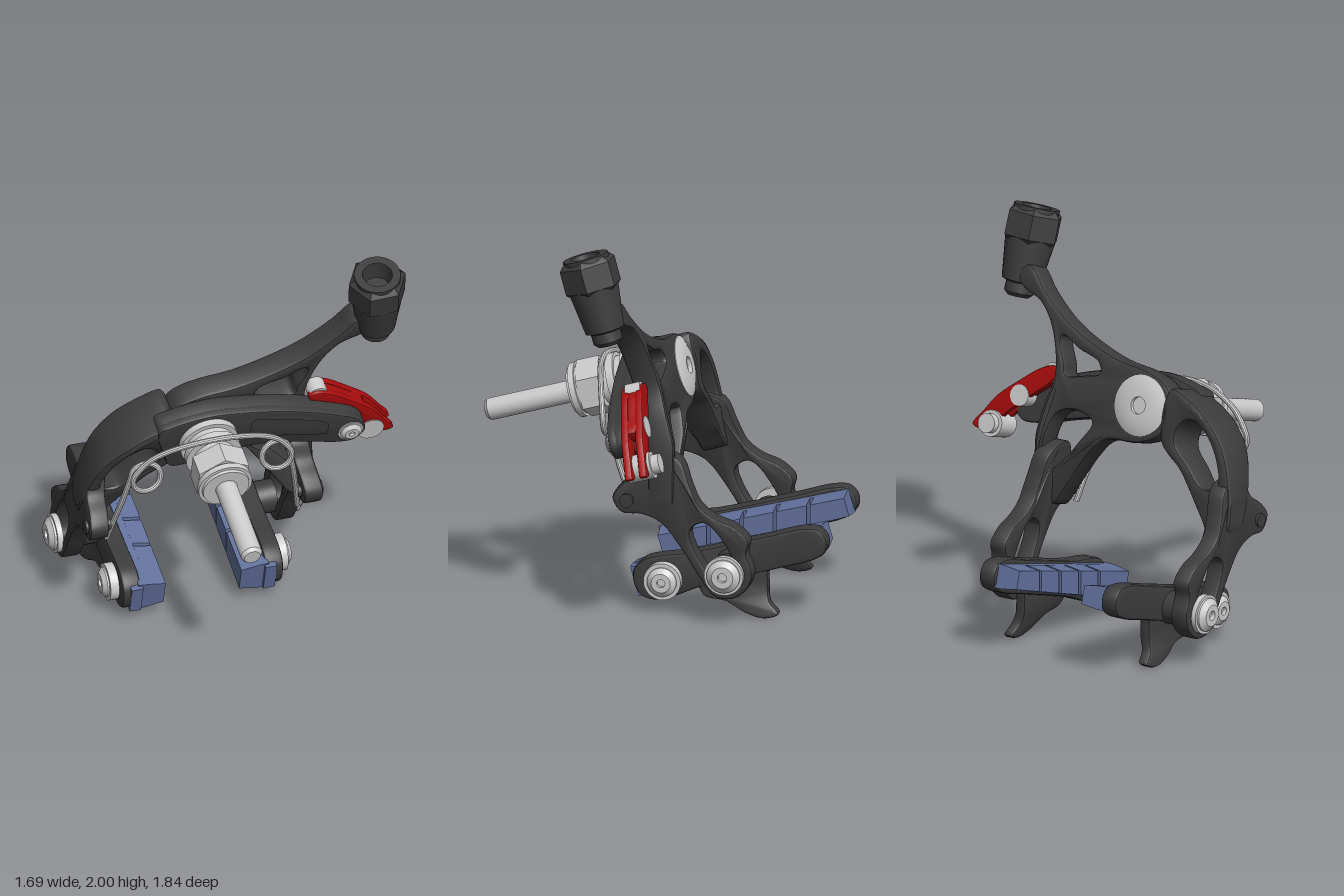
import * as THREE from 'three';
import { toCreasedNormals } from 'three/addons/utils/BufferGeometryUtils.js';

const mat = (color) => new THREE.MeshStandardMaterial({ color });
const dark = mat(0x3c3c3c), grey = mat(0xcccccc), red = mat(0xa80c0c), blue = mat(0x62719c);
const TILT = 0.28, PIVOT_X = -0.18, PIVOT_Y = 1.13, PIVOT_Z = 0.02;

function add(parent, name, geo, material) {
  const mesh = new THREE.Mesh(toCreasedNormals(geo, 0.6), material);
  mesh.name = name;
  parent.add(mesh);
  return mesh;
}

// move every vertex by a rule
function warp(geo, rule) {
  const p = geo.attributes.position, v = new THREE.Vector3();
  for (let i = 0; i < p.count; i++) {
    rule(v.fromBufferAttribute(p, i));
    p.setXYZ(i, v.x, v.y, v.z);
  }
  return geo;
}

// smooth closed loop through a few points
function loop(pts) {
  const curve = new THREE.CatmullRomCurve3(pts.map(([x, y]) => new THREE.Vector3(x, y, 0)), true, 'centripetal');
  return curve.getPoints(pts.length * 5).slice(0, -1).map((p) => new THREE.Vector2(p.x, p.y));
}

// bevelled slab between depth a and b
function slab(pts, a, b, holes = [], bevel = 0.015) {
  const shape = new THREE.Shape(loop(pts));
  holes.forEach((h) => shape.holes.push(new THREE.Path(loop(h))));
  return new THREE.ExtrudeGeometry(shape, {
    depth: b - a - 2 * bevel, bevelEnabled: true, bevelSize: bevel, bevelThickness: bevel,
    bevelOffset: -bevel, bevelSegments: 2,
  }).translate(0, 0, a + bevel);
}

// slab drawn in side outline (z, y), spanning x from a to b
const sideSlab = (pts, a, b, holes) => slab(pts, -b, -a, holes).rotateY(-Math.PI / 2);

// front outline in upright heights, brought into the tilted frame at depth ref
const tilted = (pts, ref) => pts.map(([x, y]) => [x, (y - PIVOT_Y + Math.sin(TILT) * ref) / Math.cos(TILT)]);

// cylinder from a to b along z
const rodZ = (r0, r1, a, b, x, y, seg = 32) =>
  new THREE.CylinderGeometry(r1, r0, b - a, seg).rotateX(Math.PI / 2).translate(x, y, (a + b) / 2);

const lathe = (pts, seg = 32) => new THREE.LatheGeometry(pts.map(([x, y]) => new THREE.Vector2(x, y)), seg);

// domed screw head with a socket, pointing up
const screw = (r, h) => lathe([[0, 0], [r, 0], [r, h * 0.4], [r * 0.65, h], [r * 0.28, h], [r * 0.28, h * 0.4], [0, h * 0.4]]);

// lower leg, bolts and brake pad of the -x side
function buildSide(name) {
  const side = new THREE.Group();
  side.name = name;
  const leg = [[-0.03, 0.87], [0.02, 0.77], [0.1, 0.71], [0.145, 0.64], [0.1, 0.565], [0, 0.56], [-0.1, 0.52],
    [-0.2, 0.4], [-0.31, 0.23], [-0.38, 0.15], [-0.47, 0.145], [-0.55, 0.21], [-0.57, 0.29], [-0.54, 0.38],
    [-0.55, 0.45], [-0.48, 0.52], [-0.38, 0.56], [-0.3, 0.62], [-0.25, 0.72], [-0.19, 0.85]];
  const slot = [[-0.25, 0.48], [-0.31, 0.53], [-0.37, 0.5], [-0.49, 0.29], [-0.46, 0.22], [-0.38, 0.24]];
  const legGeo = warp(sideSlab(leg, -0.79, -0.69, [slot]), (v) => { v.x += Math.max(0, v.y - 0.66) * 0.14; });
  add(side, 'lowerLeg', legGeo, dark);
  const turn = (g, y, z, x) => g.rotateZ(Math.PI / 2).translate(x, y, z);
  const disc = (r, h) => new THREE.CylinderGeometry(r, r, h, 32);
  add(side, 'padBoltWasher', turn(disc(0.1, 0.03), 0.27, -0.43, -0.8), grey);
  add(side, 'padBoltHead', turn(screw(0.085, 0.04), 0.27, -0.43, -0.81), grey);
  add(side, 'padSpacer', turn(disc(0.085, 0.12), 0.27, -0.43, -0.64), dark);
  add(side, 'springPin', turn(disc(0.035, 0.13), 0.63, 0.07, -0.735), dark);
  add(side, 'cartridgeScrewBoss', turn(disc(0.095, 0.05), 0.17, -0.08, -0.62), grey);
  add(side, 'cartridgeScrew', turn(screw(0.075, 0.035), 0.17, -0.08, -0.64), grey);

  // wheel guide fin under the holder
  const fin = [[-0.25, 0.2], [-0.28, 0.1], [-0.4, 0.075], [-0.5, 0.025], [-0.6, 0.003], [-0.67, 0.03], [-0.62, 0.09],
    [-0.61, 0.2], [-0.6, 0.28]];
  const finGeo = warp(sideSlab(fin, -0.59, -0.53), (v) => { v.x -= Math.max(0, 0.14 - v.y) * 0.3; });
  add(side, 'guideFin', finGeo, dark);

  // holder and grooved pad
  const pad = new THREE.Group();
  pad.name = 'brakePad';
  pad.position.set(0, 0.28, -0.415);
  pad.rotation.x = TILT;
  side.add(pad);
  const holder = [[0.51, 0], [0.49, 0.07], [0.42, 0.11], [0.32, 0.11], [0.2, 0.095], [-0.2, 0.088], [-0.42, 0.085],
    [-0.49, 0.06], [-0.515, 0], [-0.49, -0.06], [-0.42, -0.085], [-0.2, -0.088], [0.2, -0.095], [0.32, -0.11],
    [0.42, -0.11], [0.49, -0.07]];
  add(pad, 'padHolder', sideSlab(holder, -0.6, -0.505), dark);
  // rubber narrows to the rear; inner cuts run upright
  const block = (x0, x1, h0, h1, a, b) => warp(new THREE.ExtrudeGeometry(new THREE.Shape([
    new THREE.Vector2(x0, -h0), new THREE.Vector2(x1, -h1), new THREE.Vector2(x1, h1), new THREE.Vector2(x0, h0),
  ]), { depth: b - a, bevelEnabled: false }).translate(0, 0, a), (v) => {
    v.y *= 0.84 + 0.32 * v.z;
    if (Math.abs(v.z) < 0.45) v.z -= v.y * Math.tan(TILT);
  });
  add(pad, 'padBacking', block(-0.52, -0.47, 0.09, 0.087, -0.49, 0.495), blue);
  add(pad, 'padToe', block(-0.56, -0.5, 0.078, 0.082, 0.46, 0.513), blue);
  const cuts = [-0.5, -0.286, -0.109, 0.068, 0.245, 0.505];
  for (let i = 0; i < 5; i++)
    add(pad, 'padBlock', block(-0.47, -0.378, 0.087, 0.07, cuts[i] + 0.01, cuts[i + 1] - 0.01), blue);
  return side;
}

function buildSpring() {
  const half = [[-0.68, 0.53, 0.05], [-0.66, 0.64, 0.09], [-0.63, 0.8, 0.15]];
  // one coil, then the arc over the pivot
  for (let i = 0; i <= 18; i++) {
    const a = Math.PI - (i / 18) * (Math.PI * 2 + 0.45);
    half.push([-0.52 + 0.075 * Math.cos(a), 0.97 + 0.075 * Math.sin(a), 0.19 + i * 0.0025]);
  }
  half.push([-0.52, 1.09, 0.255], [-0.44, 1.14, 0.275], [-0.32, 1.18, 0.3]);
  const mirror = half.map(([x, y, z]) => [2 * PIVOT_X - x, y, z]).reverse();
  const pts = [...half, [PIVOT_X, 1.195, 0.31], ...mirror].map((q) => new THREE.Vector3(...q));
  return new THREE.TubeGeometry(new THREE.CatmullRomCurve3(pts, false, 'centripetal'), 260, 0.015, 10);
}

export function createModel() {
  const model = new THREE.Group();
  model.name = 'caliperBrake';
  const right = buildSide('rightSide');
  const left = buildSide('leftSide');
  left.scale.x = -1;
  left.position.x = 2 * PIVOT_X;
  model.add(right, left);
  add(model, 'returnSpring', buildSpring(), grey);

  // everything around the pivot leans forward with it
  const top = new THREE.Group();
  top.name = 'pivotAssembly';
  top.position.set(0, PIVOT_Y, PIVOT_Z);
  top.rotation.x = TILT;
  model.add(top);

  // deep curved arm, thinning towards the leg
  const arch = [[-0.77, 0.6], [-0.785, 0.72], [-0.76, 0.87], [-0.7, 1.02], [-0.6, 1.13], [-0.47, 1.21], [-0.36, 1.245],
    [-0.33, 1.2], [-0.33, 0.98], [-0.37, 0.93], [-0.45, 0.87], [-0.53, 0.77], [-0.61, 0.66], [-0.67, 0.59]];
  const archHole = [[-0.69, 0.82], [-0.61, 0.8], [-0.51, 0.89], [-0.42, 0.98], [-0.42, 1.05], [-0.49, 1.11],
    [-0.59, 1.06], [-0.67, 0.94]];
  const archGeo = slab(tilted(arch, 0), -0.15, 0.13, [tilted(archHole, 0)], 0.025);
  add(top, 'rightArm', warp(archGeo, (v) => {
    v.z = THREE.MathUtils.lerp(v.z, -0.03, 0.5 * THREE.MathUtils.clamp(-v.y / 0.5, 0, 1));
  }), dark);

  // front plate reaching across to the release lever, with a recessed panel
  const plate = [[-0.44, 1.2], [-0.36, 1.235], [-0.18, 1.265], [0, 1.25], [0.25, 1.2], [0.5, 1.11], [0.62, 1.045],
    [0.66, 0.97], [0.61, 0.905], [0.53, 0.9], [0.35, 0.945], [0.15, 0.985], [0, 0.985], [-0.1, 0.95], [-0.25, 0.94],
    [-0.36, 0.94], [-0.4, 1.02]];
  const panel = [[0.04, 1.17], [0.06, 1.19], [0.25, 1.15], [0.45, 1.08], [0.47, 1.05], [0.46, 0.99], [0.44, 0.98],
    [0.25, 1.02], [0.07, 1.04], [0.04, 1.06]];
  add(top, 'frontArmPlate', slab(tilted(plate, 0.1), 0.01, 0.11), dark);
  add(top, 'frontArmRim', slab(tilted(plate, 0.1), 0.08, 0.135, [tilted(panel, 0.1)], 0.012), dark);

  // rear arm: cable branch, pivot boss and the drop to the other leg
  const rear = [[0.6, 1.7], [0.5, 1.6], [0.36, 1.49], [0.2, 1.41], [0, 1.345], [-0.2, 1.315], [-0.32, 1.26],
    [-0.36, 1.15], [-0.32, 1.03], [-0.2, 0.97], [0, 0.95], [0.09, 0.87], [0.17, 0.77], [0.25, 0.66], [0.31, 0.59],
    [0.41, 0.6], [0.43, 0.72], [0.425, 0.9], [0.4, 1.06], [0.365, 1.2], [0.385, 1.32], [0.44, 1.45], [0.52, 1.54],
    [0.65, 1.6], [0.68, 1.68]];
  const window1 = [[0.1, 1.26], [0.12, 1.31], [0.25, 1.355], [0.35, 1.4], [0.36, 1.375], [0.315, 1.27], [0.3, 1.22], [0.2, 1.23]];
  const window2 = [[0.33, 0.76], [0.25, 0.82], [0.15, 0.93], [0.1, 1.02], [0.2, 1.06], [0.31, 1.03], [0.36, 0.92], [0.37, 0.82]];
  const rearGeo = slab(tilted(rear, -0.07), -0.125, 0.01, [window1, window2].map((h) => tilted(h, -0.07)), 0.02);
  add(top, 'leftArm', warp(rearGeo, (v) => { v.z += Math.max(0, -v.y - 0.25) * 0.3; }), dark);

  // pivot bolt stack
  [['pivotWasher', 0.15, 0.13, 0.17], ['pivotSpacer', 0.125, 0.17, 0.21], ['springPlate', 0.145, 0.21, 0.25],
    ['nutNeck', 0.11, 0.25, 0.3], ['nutCollar', 0.14, 0.42, 0.45]].forEach(([n, r, a, b]) =>
    add(top, n, rodZ(r, r, a, b, PIVOT_X, 0), grey));
  add(top, 'pivotNut', rodZ(0.15, 0.15, 0.29, 0.41, PIVOT_X, 0, 6), grey);
  add(top, 'nutNose', rodZ(0.13, 0.12, 0.4, 0.465, PIVOT_X, 0), grey);
  add(top, 'pivotBolt', rodZ(0.056, 0.056, 0.4, 0.91, PIVOT_X, 0), grey);
  add(top, 'pivotBoltTip', rodZ(0.056, 0.042, 0.91, 0.928, PIVOT_X, 0), grey);
  add(top, 'pivotBoltHead', screw(0.155, 0.035).rotateX(-Math.PI / 2).translate(PIVOT_X, 0, -0.115), grey);

  // cable barrel at the end of the upper branch
  const barrel = new THREE.Group();
  barrel.name = 'cableBarrel';
  barrel.position.set(0.7, 0.6, -0.03);
  barrel.rotation.z = 0.06;
  top.add(barrel);
  add(barrel, 'barrelBody', lathe([[0, -0.2], [0.055, -0.2], [0.075, -0.18], [0.075, -0.13], [0.1, -0.12],
    [0.128, 0.1], [0, 0.1]]), dark);
  add(barrel, 'barrelNut', lathe([[0.115, 0.07], [0.148, 0.1], [0.148, 0.225], [0.118, 0.255]], 6).rotateY(Math.PI / 6), dark);
  add(barrel, 'barrelMouth', lathe([[0.117, 0.18], [0.117, 0.262], [0.075, 0.262], [0.065, 0.16], [0, 0.16]]), dark);

  // forked release lever
  const lever = [[0.37, 1.2], [0.41, 1.225], [0.49, 1.2], [0.6, 1.125], [0.72, 1.03], [0.79, 0.94], [0.84, 0.87],
    [0.8, 0.855], [0.71, 0.9], [0.62, 0.98], [0.52, 1.06], [0.43, 1.13]];
  const bridge = [[0.39, 1.2], [0.42, 1.22], [0.49, 1.195], [0.6, 1.12], [0.68, 1.055], [0.62, 1.0], [0.52, 1.07], [0.43, 1.14]];
  for (const a of [-0.065, 0.01]) add(top, 'leverFork', slab(tilted(lever, 0), a, a + 0.04, [], 0.008), red);
  add(top, 'leverBridge', slab(tilted(bridge, 0), -0.06, 0.045, [], 0.005), red);
  const pin = (name, r, a, b, x, y) => add(top, name, rodZ(r, r, a, b, x, (y - PIVOT_Y) / Math.cos(TILT)), grey);
  pin('leverPivot', 0.05, -0.05, 0.03, 0.425, 1.19);
  pin('leverAxle', 0.055, -0.068, 0.03, 0.585, 1.05);
  pin('cableAnchor', 0.068, -0.08, 0.055, 0.72, 0.89);
  pin('cableAnchorNut', 0.05, -0.12, -0.07, 0.72, 0.89);
  add(top, 'armScrewWasher', rodZ(0.065, 0.065, 0.12, 0.14, 0.58, -0.13), grey);
  add(top, 'armScrew', screw(0.055, 0.025).rotateX(Math.PI / 2).translate(0.58, -0.13, 0.135), grey);
  return model;
}
